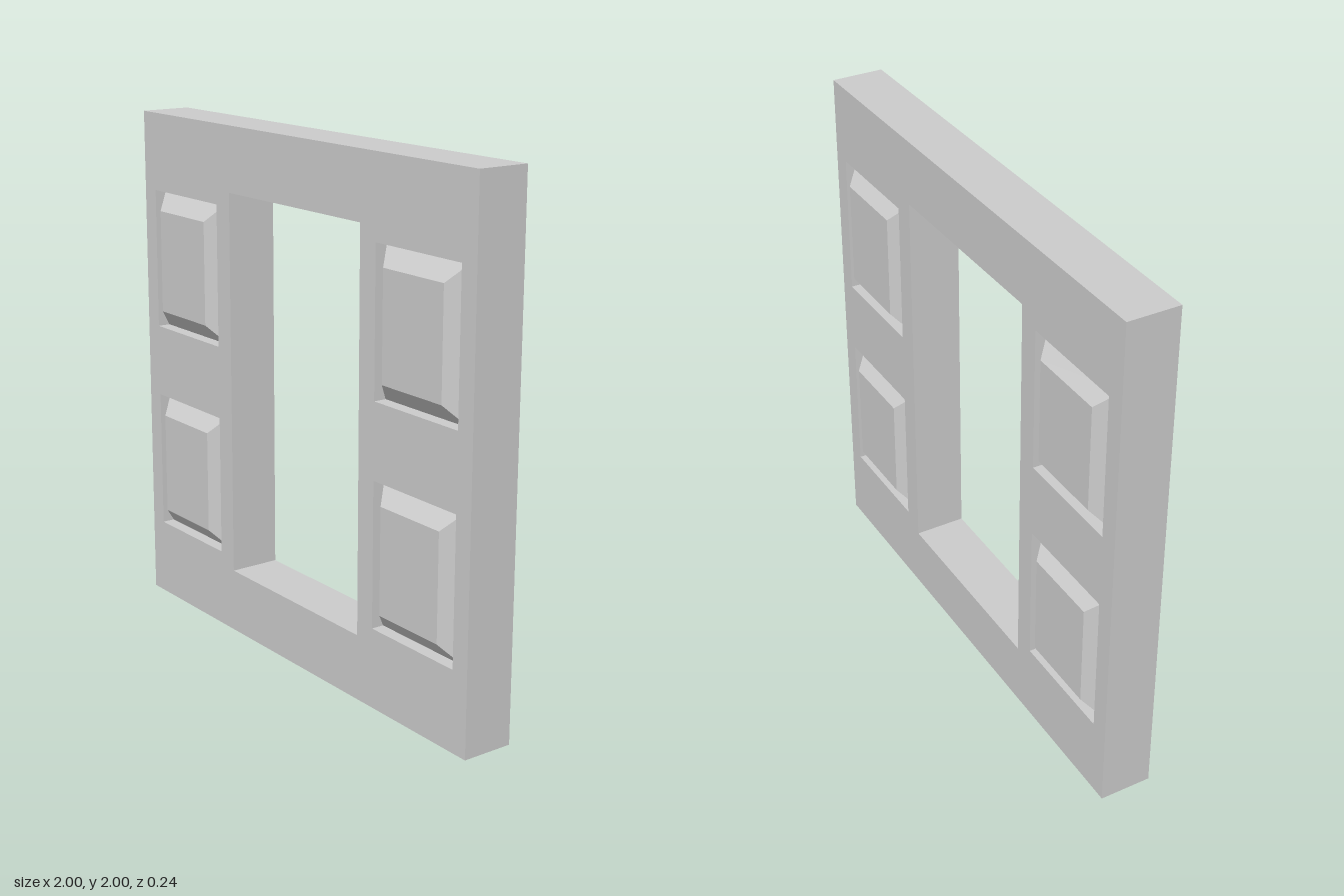
import * as THREE from 'three';

const DEPTH = 0.2;
const PANEL = { w: 0.44, h: 0.552, x: 0.706, dy: 0.419 };

// Rectangle outline about a centre, for the frame and its holes
function rect(Type, cx, cy, w, h) {
  const x = w / 2, y = h / 2;
  return new Type([[-x, -y], [x, -y], [x, y], [-x, y]].map(([a, b]) => new THREE.Vector2(cx + a, cy + b)));
}

// Raised panel: a slab whose front and back are bevelled inwards from a sunken edge
function panelGeometry() {
  const insetX = 0.064, insetY = 0.074, edgeZ = 0.05, faceZ = 0.118;
  const g = new THREE.BoxGeometry(PANEL.w, PANEL.h, 6, 1, 1, 3);
  const p = g.attributes.position;
  for (let i = 0; i < p.count; i++) {
    const z = p.getZ(i);
    if (Math.abs(z) > 2) {
      p.setX(i, Math.sign(p.getX(i)) * (PANEL.w / 2 - insetX));
      p.setY(i, Math.sign(p.getY(i)) * (PANEL.h / 2 - insetY));
      p.setZ(i, Math.sign(z) * faceZ);
    } else p.setZ(i, Math.sign(z) * edgeZ);
  }
  const flat = g.toNonIndexed();
  flat.computeVertexNormals();
  return flat;
}

export function createModel() {
  const model = new THREE.Group();
  model.name = 'panelledFrame';
  const material = new THREE.MeshStandardMaterial({ color: 0xcccccc, flatShading: true });

  // Square frame with a tall central opening and four panel openings
  const shape = rect(THREE.Shape, 0, 1, 2, 2);
  shape.holes.push(rect(THREE.Path, 0, 1, 0.8, 1.5));
  const panelGeo = panelGeometry();
  for (const sx of [-1, 1]) {
    for (const sy of [-1, 1]) {
      const x = sx * PANEL.x, y = 1 + sy * PANEL.dy;
      shape.holes.push(rect(THREE.Path, x, y, PANEL.w, PANEL.h));
      const panel = new THREE.Mesh(panelGeo, material);
      panel.name = (sy > 0 ? 'upper' : 'lower') + (sx > 0 ? 'Left' : 'Right') + 'Panel';
      panel.position.set(x, y, 0);
      model.add(panel);
    }
  }
  const frameGeo = new THREE.ExtrudeGeometry(shape, { depth: DEPTH, bevelEnabled: false });
  frameGeo.translate(0, 0, -DEPTH / 2);
  const frame = new THREE.Mesh(frameGeo, material);
  frame.name = 'frame';
  model.add(frame);
  return model;
}
